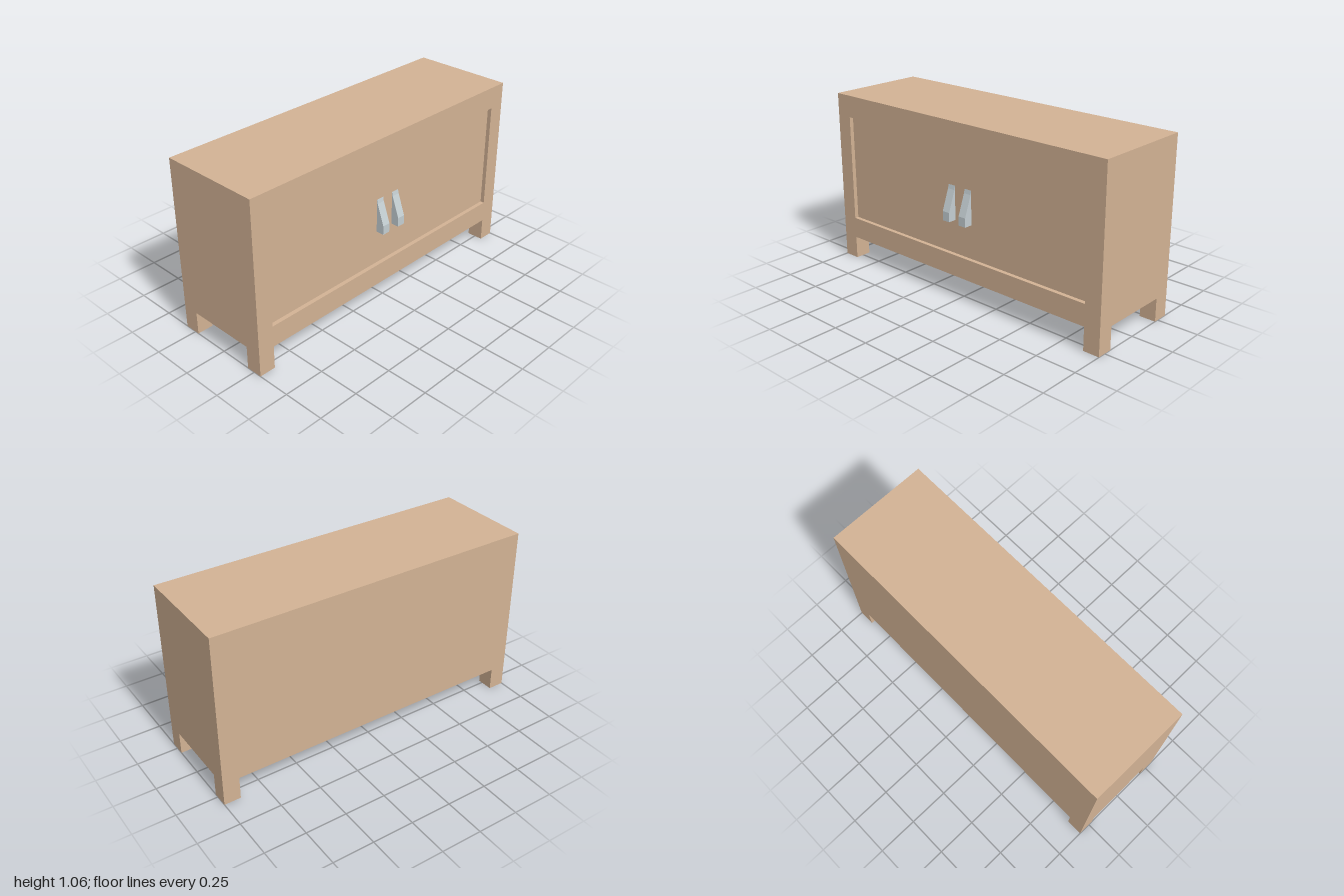
import * as THREE from 'three';

export function createModel() {
  const model = new THREE.Group();
  const wood = new THREE.MeshStandardMaterial({ color: 0xd2b294 });
  const metal = new THREE.MeshStandardMaterial({ color: 0xc4ced2 });
  const grey = new THREE.MeshStandardMaterial({ color: 0xb0b0b0, side: THREE.DoubleSide });

  const add = (name, geometry, material) => {
    const mesh = new THREE.Mesh(geometry, material);
    mesh.name = name;
    model.add(mesh);
    return mesh;
  };
  const rect = (Type, x0, y0, x1, y1) => {
    const r = new Type();
    r.moveTo(x0, y0).lineTo(x1, y0).lineTo(x1, y1).lineTo(x0, y1).closePath();
    return r;
  };

  const back = -0.325, front = 0.3, recess = 0.025;
  const bottom = 0.14, top = 1.06, legSize = 0.1;

  // Cabinet body, its front face being the recessed door panel
  const depth = front - recess - back;
  add('cabinetBody', new THREE.BoxGeometry(2, top - bottom, depth), wood)
    .position.set(0, (top + bottom) / 2, back + depth / 2);

  // Raised frame around the door panel
  const frame = rect(THREE.Shape, -1, bottom, 1, top);
  frame.holes.push(rect(THREE.Path, -0.9, 0.27, 0.9, 0.925));
  add('frontFrame', new THREE.ExtrudeGeometry(frame, { depth: recess, bevelEnabled: false }), wood)
    .position.z = front - recess;

  // Four square legs flush with the corners
  for (const x of [-1, 1]) {
    for (const z of [back + legSize / 2, front - legSize / 2]) {
      const name = (z > 0 ? 'front' : 'back') + (x > 0 ? 'Left' : 'Right') + 'Leg';
      add(name, new THREE.BoxGeometry(legSize, bottom, legSize), wood)
        .position.set(x * (1 - legSize / 2), bottom / 2, z);
    }
  }

  // Wedge-shaped door handles: side profile in (z, y), extruded across x
  const profile = new THREE.Shape([
    [0.275, 0.475], [0.325, 0.475], [0.325, 0.53], [0.28, 0.655], [0.275, 0.68],
  ].map(([z, y]) => new THREE.Vector2(z, y)));
  const width = 0.05;
  const handle = new THREE.ExtrudeGeometry(profile, { depth: width, bevelEnabled: false });
  handle.translate(0, 0, -width / 2).rotateY(-Math.PI / 2);
  for (const side of [-1, 1]) {
    add(side > 0 ? 'leftHandle' : 'rightHandle', handle, metal).position.x = side * 0.062;
  }

  // Thin square plate on the underside
  const plate = add('undersidePlate', new THREE.PlaneGeometry(0.49, 0.49), grey);
  plate.rotation.x = Math.PI / 2;
  plate.position.set(-0.05, bottom - 0.001, 0.01);

  return model;
}
